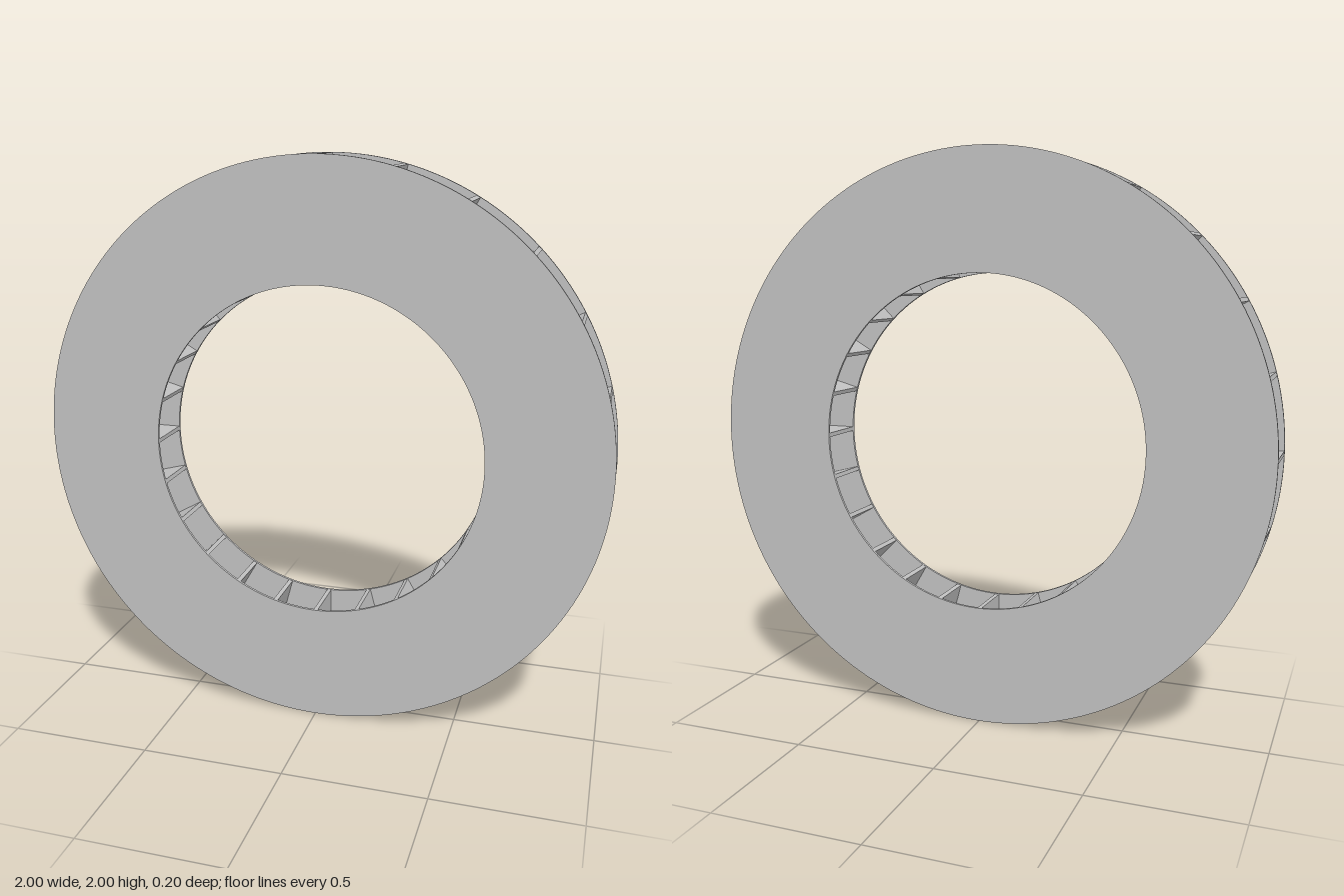
import * as THREE from 'three';

const OUTER = 1, INNER = 0.583, HALF_DEPTH = 0.098, PLATE = 0.01;
const VANES = 24, VANE_THICKNESS = 0.015;

export function createModel() {
  const group = new THREE.Group();
  group.name = 'ventilatedRing';
  const grey = new THREE.MeshStandardMaterial({ color: 0xc0c0c0 });
  grey.name = 'metal grey';

  // Ring-shaped face plates, front and back
  const ring = new THREE.Shape().absarc(0, 0, OUTER, 0, Math.PI * 2, false);
  ring.holes.push(new THREE.Path().absarc(0, 0, INNER, 0, Math.PI * 2, true));
  const plateGeometry = new THREE.ExtrudeGeometry(ring, {
    depth: PLATE, bevelEnabled: false, curveSegments: 96,
  });
  for (const [name, z] of [['frontPlate', HALF_DEPTH - PLATE], ['backPlate', -HALF_DEPTH]]) {
    const plate = new THREE.Mesh(plateGeometry, grey);
    plate.name = name;
    plate.position.set(0, OUTER, z);
    group.add(plate);
  }

  // Radial vanes joining the two plates, open between them
  const vanes = new THREE.Group();
  vanes.name = 'vanes';
  vanes.position.y = OUTER;
  const vaneGeometry = new THREE.BoxGeometry(
    OUTER - INNER - 0.002, VANE_THICKNESS, 2 * (HALF_DEPTH - PLATE));
  vaneGeometry.translate((OUTER + INNER) / 2, 0, 0);
  for (let i = 0; i < VANES; i++) {
    const vane = new THREE.Mesh(vaneGeometry, grey);
    vane.name = 'vane';
    vane.rotation.z = (i / VANES) * Math.PI * 2;
    vanes.add(vane);
  }
  group.add(vanes);
  return group;
}
